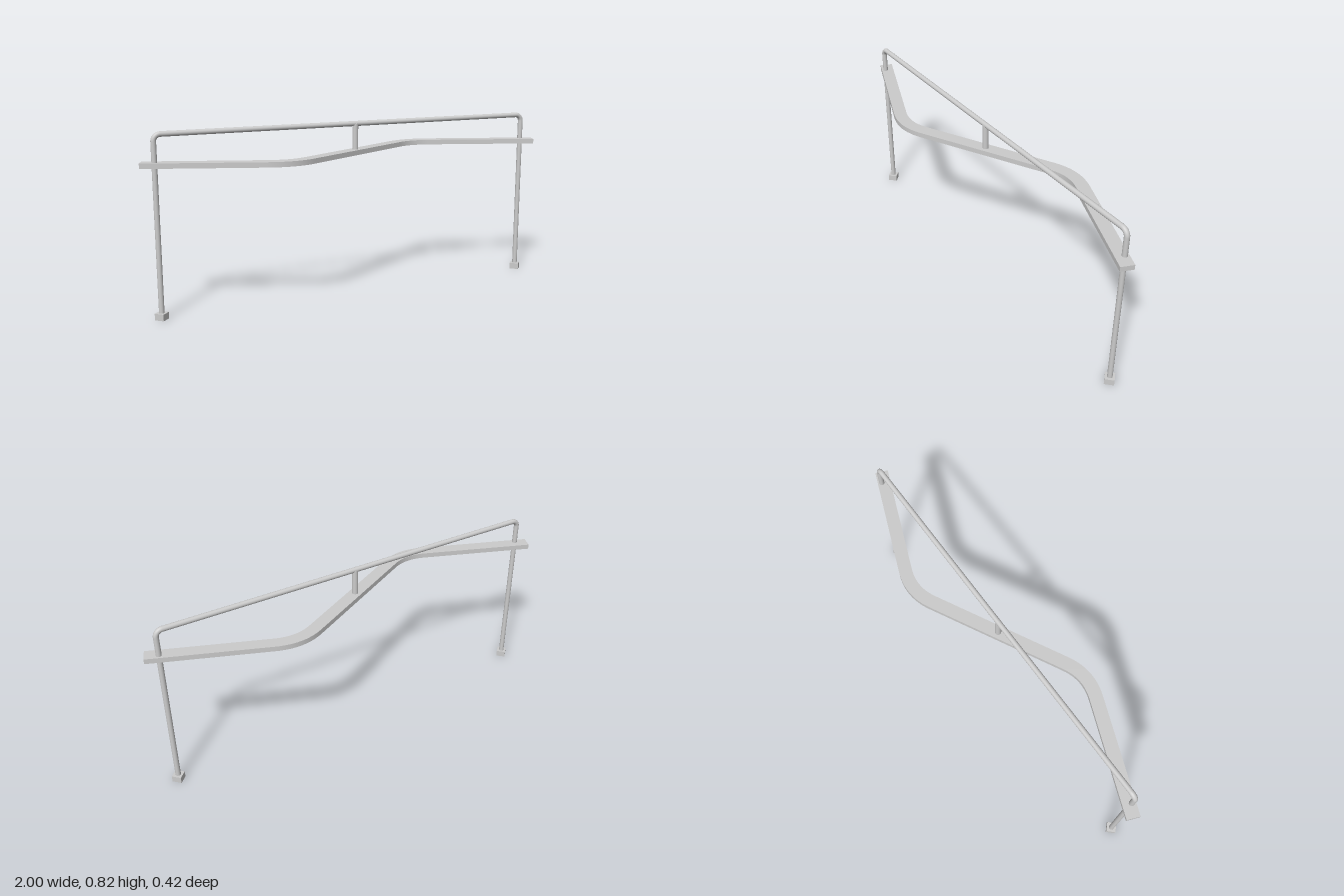
import * as THREE from 'three';
import { toCreasedNormals } from 'three/addons/utils/BufferGeometryUtils.js';

const TUBE = 0.012, LEG_X = 0.937, RAIL_Y = 0.812, BEND = 0.03;
const BOARD_Y = 0.669, BOARD_H = 0.023, BOARD_HALF = 0.03, FOOT_H = 0.03;

export function createModel() {
  const model = new THREE.Group();
  const mat = new THREE.MeshStandardMaterial({ color: 0xcccccc });
  const add = (name, geo, x = 0, y = 0, z = 0, parent = model) => {
    const mesh = new THREE.Mesh(geo, mat);
    mesh.name = name;
    mesh.position.set(x, y, z);
    parent.add(mesh);
    return mesh;
  };

  // Tubular frame: straight rail, rounded corners, legs and feet
  const span = 2 * (LEG_X - BEND);
  add('topRail', new THREE.CylinderGeometry(TUBE, TUBE, span, 20).rotateZ(Math.PI / 2), 0, RAIL_Y, 0);
  const legH = RAIL_Y - BEND;
  for (const side of [1, -1]) {
    const support = new THREE.Group();
    support.name = side > 0 ? 'leftSupport' : 'rightSupport';
    support.rotation.y = side > 0 ? 0 : Math.PI;
    model.add(support);
    add('leg', new THREE.CylinderGeometry(TUBE, TUBE, legH, 20), LEG_X, legH / 2, 0, support);
    add('cornerBend', new THREE.TorusGeometry(BEND, TUBE, 20, 10, Math.PI / 2), LEG_X - BEND, legH, 0, support);
    const foot = add('foot', new THREE.BoxGeometry(0.044, FOOT_H, 0.044), LEG_X, FOOT_H / 2, 0, support);
    foot.rotation.y = Math.PI / 4;
  }

  // Short post between board and rail
  const postTop = RAIL_Y, postBottom = BOARD_Y + 0.01;
  add('centrePost', new THREE.CylinderGeometry(0.014, 0.014, postTop - postBottom, 20), 0, (postTop + postBottom) / 2, 0);

  // Zigzag board: centreline with two rounded corners, offset to both sides
  const corners = [[-0.99, 0.032], [-0.39, -0.205], [0.39, 0.205], [0.99, -0.032]]
    .map(([x, y]) => new THREE.Vector2(x, y));
  const line = [corners[0]];
  for (const i of [1, 2]) {
    const toward = (p) => corners[i].clone().add(p.clone().sub(corners[i]).setLength(0.11));
    const curve = new THREE.QuadraticBezierCurve(toward(corners[i - 1]), corners[i], toward(corners[i + 1]));
    line.push(...curve.getPoints(12));
  }
  line.push(corners[3]);
  const offset = (d) => line.map((p, i) => {
    const dir = line[Math.min(i + 1, line.length - 1)].clone().sub(line[Math.max(i - 1, 0)]);
    // at the ends of a curve follow the shorter neighbour evenly
    if (i > 0 && i < line.length - 1) {
      dir.copy(line[i + 1].clone().sub(p).normalize().add(p.clone().sub(line[i - 1]).normalize()));
    }
    dir.normalize();
    return new THREE.Vector2(p.x - dir.y * d, p.y + dir.x * d);
  });
  const outline = new THREE.Shape([...offset(-BOARD_HALF), ...offset(BOARD_HALF).reverse()]);
  const board = new THREE.ExtrudeGeometry(outline, { depth: BOARD_H, bevelEnabled: false });
  board.rotateX(-Math.PI / 2);
  add('zigzagBoard', toCreasedNormals(board, 0.6), 0, BOARD_Y, 0);

  return model;
}
